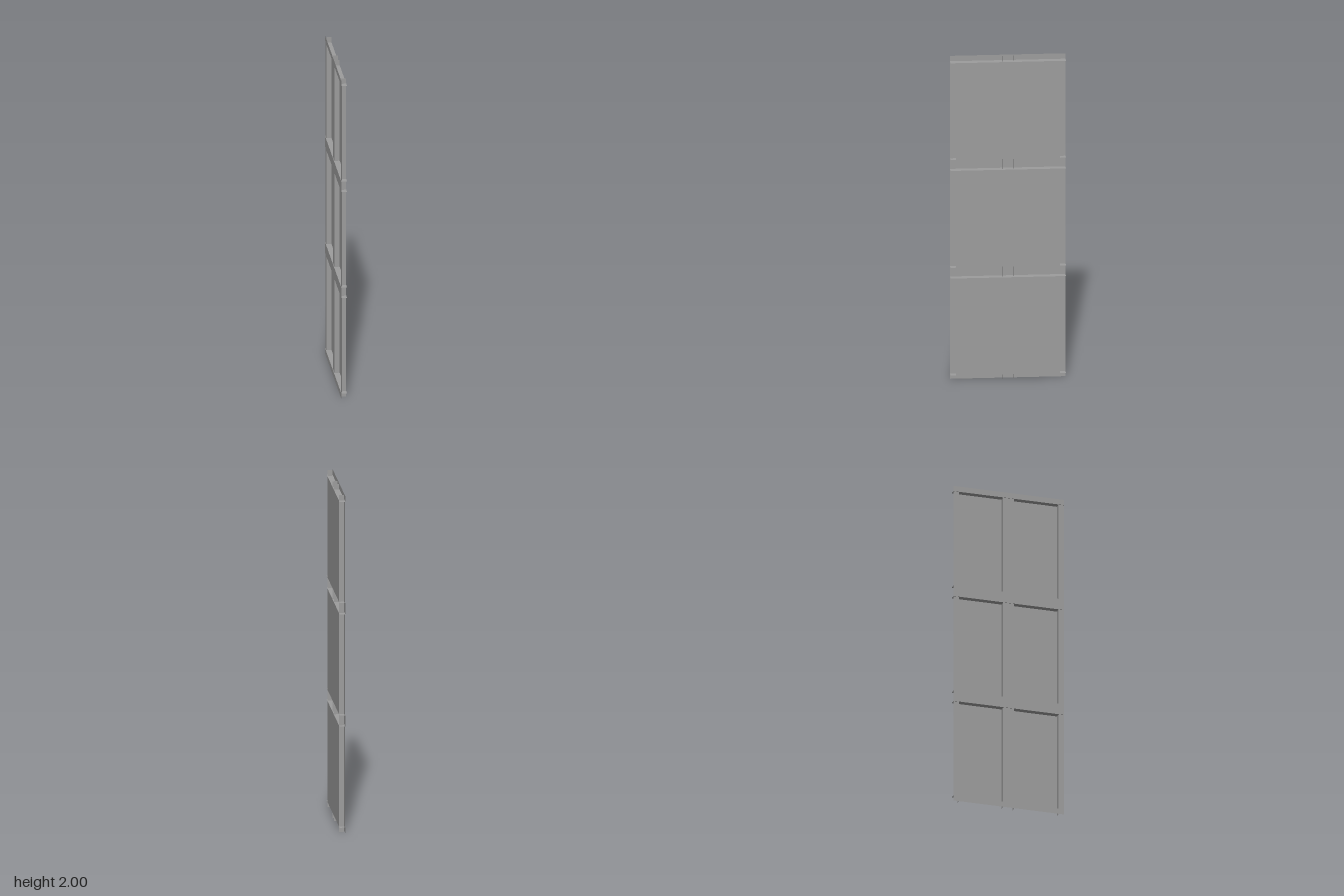
import * as THREE from 'three';

export function createModel() {
  const group = new THREE.Group();
  group.name = 'panelFrame';
  const mat = new THREE.MeshStandardMaterial({ color: 0x9c9c9c, flatShading: true, side: THREE.DoubleSide });

  const H = 2, D = 1 / 3, T = 1 / 60; // height, half depth, half thickness
  const V = 0.0135; // the upright bands sit slightly behind the horizontal ones
  const E = 0.3, M = 1 / 30; // pane edge, half width of the middle post
  const cells = [0, 1, 2].map(i => [M + i * 2 / 3, M + 0.6 + i * 2 / 3]);

  const add = (name, geo, x, y, z) => {
    const mesh = new THREE.Mesh(geo, mat);
    mesh.name = name;
    mesh.position.set(x, y, z);
    group.add(mesh);
  };
  // flat sheet facing along x (dir 1 or -1)
  const sheet = (name, dir, x, y0, y1, z0, z1) =>
    add(name, new THREE.PlaneGeometry(z1 - z0, y1 - y0).rotateY(dir * Math.PI / 2),
      x, (y0 + y1) / 2, (z0 + z1) / 2);

  for (const [y0, y1] of cells) {
    // skin pane
    sheet('pane', 1, T, y0, y1, -E, E);
    // upright bands behind the pane: two sides and the middle
    for (const [z0, z1] of [[-D, -E], [-M, M], [E, D]]) sheet('uprightBand', -1, -V, y0, y1, z0, z1);
    // horizontal ribs above and below the pane
    for (const y of [y0, y1]) {
      add('horizontalRib', new THREE.PlaneGeometry(2 * T, 2 * D).rotateX(-Math.PI / 2), 0, y, 0);
    }
  }

  // horizontal bands between the cells and at both ends
  for (let i = 0; i < 4; i++) {
    const y = i * 2 / 3;
    sheet('horizontalBand', -1, -T, Math.max(0, y - M), Math.min(H, y + M), -D, D);
  }

  // upright ribs beside the panes and the middle post
  for (const z of [-E, -M, M, E]) {
    add('uprightRib', new THREE.PlaneGeometry(T + V, H), (T - V) / 2, H / 2, z);
  }
  return group;
}
